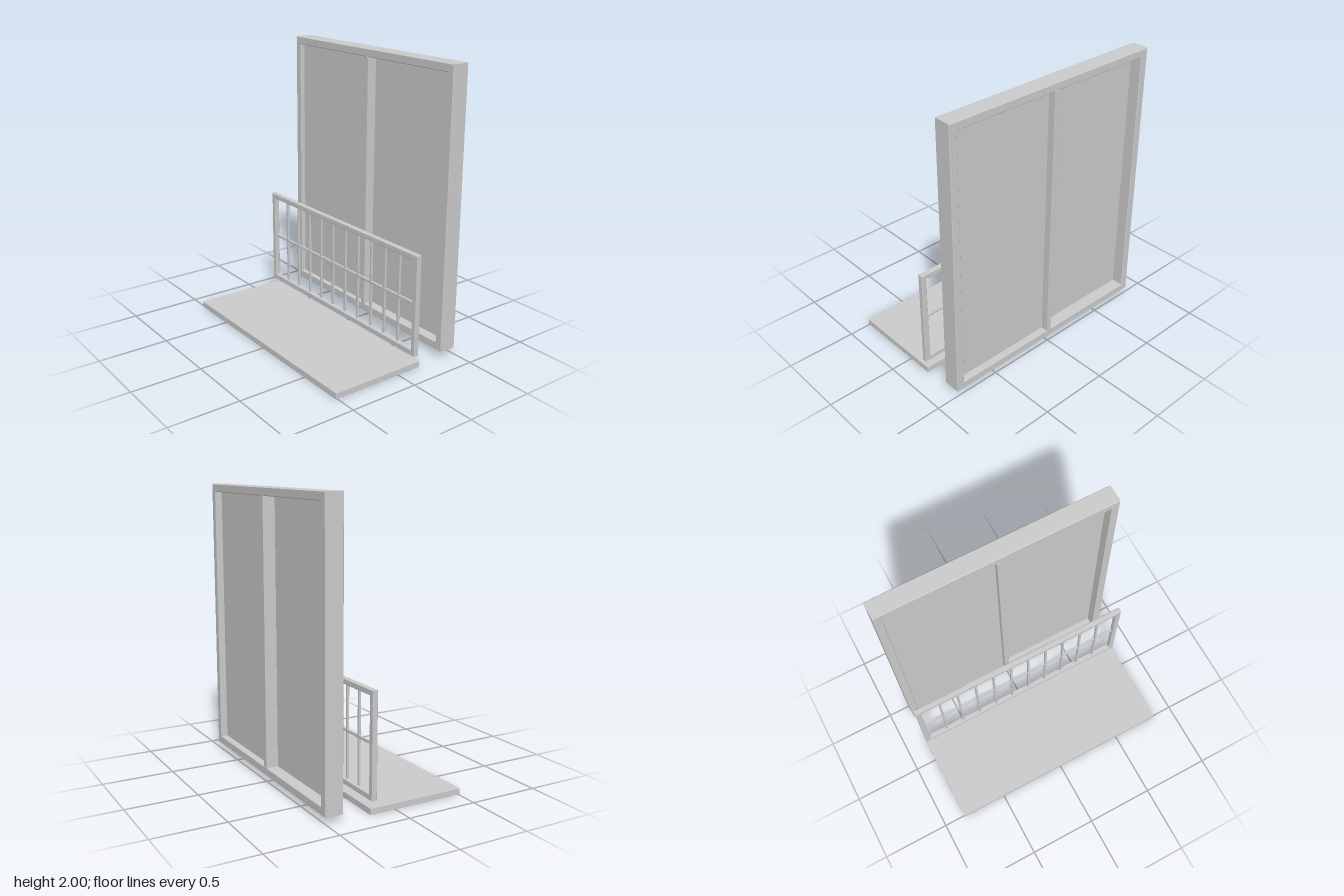
import * as THREE from 'three';
import { RoundedBoxGeometry } from 'three/addons/geometries/RoundedBoxGeometry.js';

const material = new THREE.MeshStandardMaterial({ color: 0xcccccc });

function add(group, name, geometry, x, y, z) {
  const mesh = new THREE.Mesh(geometry, material);
  mesh.name = name;
  mesh.position.set(x, y, z);
  group.add(mesh);
}

// Box given by its limits on each axis, with slightly eased edges
function bar(group, name, [x0, x1], [y0, y1], [z0, z1], radius = 0.002) {
  const geometry = new RoundedBoxGeometry(x1 - x0, y1 - y0, z1 - z0, 1, radius);
  add(group, name, geometry, (x0 + x1) / 2, (y0 + y1) / 2, (z0 + z1) / 2);
}

function rectangle(target, halfWidth, y0, y1) {
  target.moveTo(-halfWidth, y0);
  target.lineTo(halfWidth, y0);
  target.lineTo(halfWidth, y1);
  target.lineTo(-halfWidth, y1);
  target.closePath();
  return target;
}

// Rectangular frame with one opening and bevelled front and back edges
function frame(group, name, halfWidth, [y0, y1], [z0, z1], border, bevel) {
  const shape = rectangle(new THREE.Shape(), halfWidth, y0, y1);
  shape.holes.push(rectangle(new THREE.Path(), halfWidth - border, y0 + border, y1 - border));
  const geometry = new THREE.ExtrudeGeometry(shape, {
    depth: z1 - z0 - 2 * bevel,
    bevelThickness: bevel,
    bevelSize: bevel,
    bevelOffset: -bevel,
    bevelSegments: 1,
  });
  add(group, name, geometry, 0, 0, z0 + bevel);
}

export function createModel() {
  const model = new THREE.Group();
  model.name = 'balconyWindow';

  // Window: frame, centre post and two sliding panes on separate tracks
  const window_ = new THREE.Group();
  window_.name = 'window';
  frame(window_, 'windowFrame', 0.84, [0.046, 2], [-0.508, -0.382], 0.056, 0.004);
  bar(window_, 'centrePost', [-0.019, 0.019], [0.1, 1.945], [-0.51, -0.38]);
  for (const [name, side, z] of [['rightPane', -1, -0.419], ['leftPane', 1, -0.455]]) {
    add(window_, name, new THREE.BoxGeometry(0.79, 1.85, 0.008), side * 0.395, 1.023, z);
  }
  model.add(window_);

  // Railing: outer frame, middle rail and evenly spaced balusters
  const railing = new THREE.Group();
  railing.name = 'railing';
  frame(railing, 'railingFrame', 0.84, [0.085, 0.8], [-0.176, -0.138], 0.039, 0.004);
  bar(railing, 'middleRail', [-0.8, 0.8], [0.446, 0.464], [-0.166, -0.148]);
  const count = 10;
  const spacing = 0.1447;
  for (let i = 0; i < count; i++) {
    const x = (i - (count - 1) / 2) * spacing;
    bar(railing, 'baluster', [x - 0.008, x + 0.008], [0.128, 0.757], [-0.165, -0.149]);
  }
  model.add(railing);

  // Floor slab
  bar(model, 'floorSlab', [-0.84, 0.84], [0, 0.042], [-0.187, 0.51]);

  return model;
}
